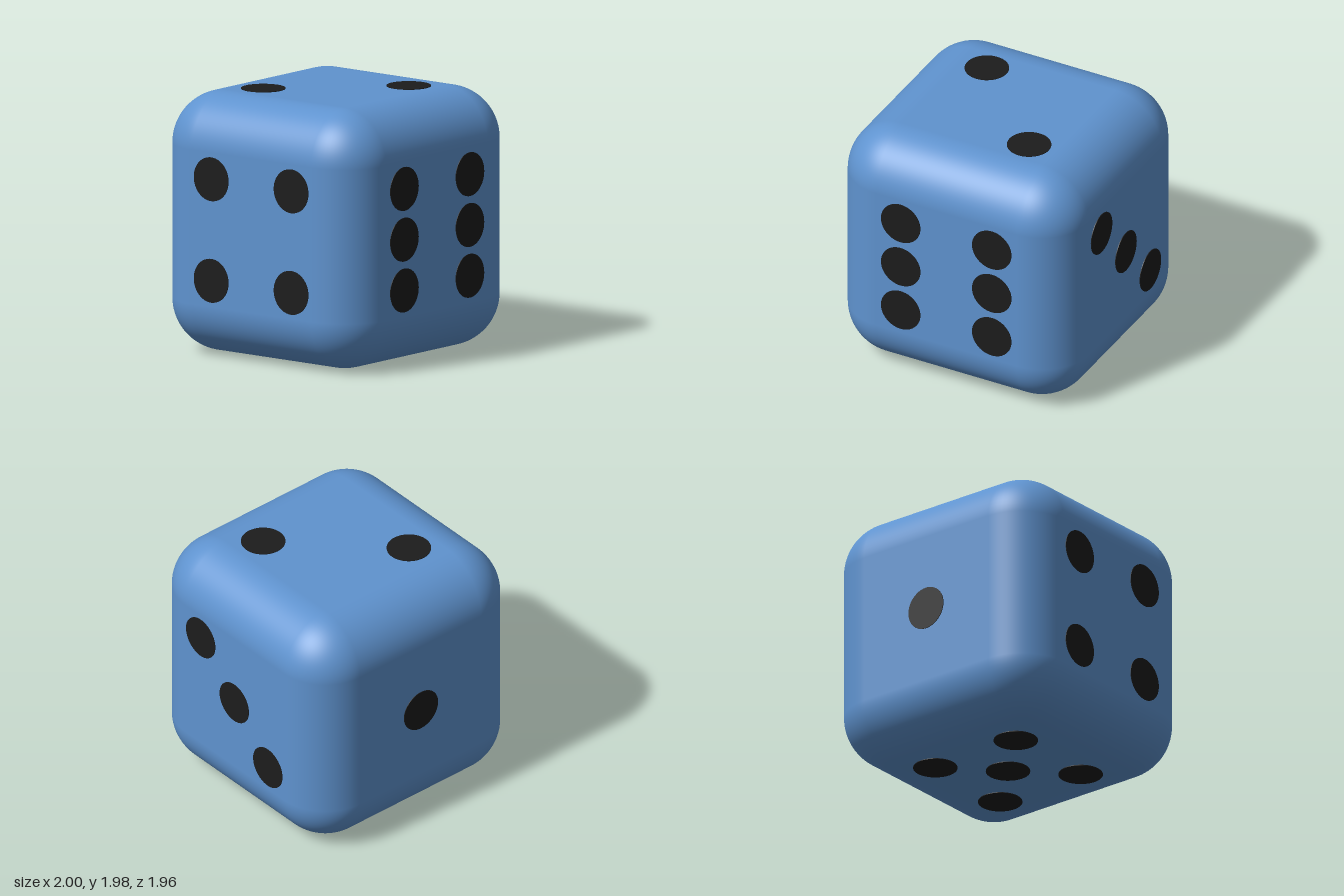
import * as THREE from 'three';
import { RoundedBoxGeometry } from 'three/addons/geometries/RoundedBoxGeometry.js';

export function createModel() {
  const model = new THREE.Group();
  model.name = 'die';

  const blue = new THREE.MeshStandardMaterial({ color: 0x5f93cf });
  const black = new THREE.MeshStandardMaterial({ color: 0x1c1c1c });

  const W = 1.99, H = 1.97, D = 1.945, midY = 0.99;
  const s = 0.385; // pip spacing from the face centre

  // Rounded cube
  const body = new THREE.Mesh(new RoundedBoxGeometry(W, H, D, 10, 0.4), blue);
  body.name = 'body';
  body.position.y = midY;
  model.add(body);

  // Thin discs standing just proud of each face, axis along z
  const pipGeometry = new THREE.CylinderGeometry(0.166, 0.166, 0.02, 48).rotateX(Math.PI / 2);

  // Pip positions (across, up) on each face, and the turn that carries +z to that face
  const q = Math.PI / 2;
  const corners = [[-s, s], [s, s], [-s, -s], [s, -s]];
  const faces = [
    { name: 'frontPips', turn: [0, 0], half: D / 2, pips: [...corners, [-s, 0], [s, 0]] },
    { name: 'backPips', turn: [0, Math.PI], half: D / 2, pips: [[0, 0]] },
    { name: 'leftPips', turn: [0, q], half: W / 2, pips: [[-s, s], [0, 0], [s, -s]] },
    { name: 'rightPips', turn: [0, -q], half: W / 2, pips: corners },
    { name: 'topPips', turn: [-q, 0], half: H / 2, pips: [[-s, s], [s, -s]] },
    { name: 'bottomPips', turn: [q, 0], half: H / 2, pips: [...corners, [0, 0]] },
  ];

  for (const { name, turn, half, pips } of faces) {
    const face = new THREE.Group();
    face.name = name;
    face.position.y = midY;
    face.rotation.set(turn[0], turn[1], 0);
    for (const [x, y] of pips) {
      const pip = new THREE.Mesh(pipGeometry, black);
      pip.name = 'pip';
      pip.position.set(x, y, half + 0.005 - 0.01);
      face.add(pip);
    }
    model.add(face);
  }
  return model;
}
